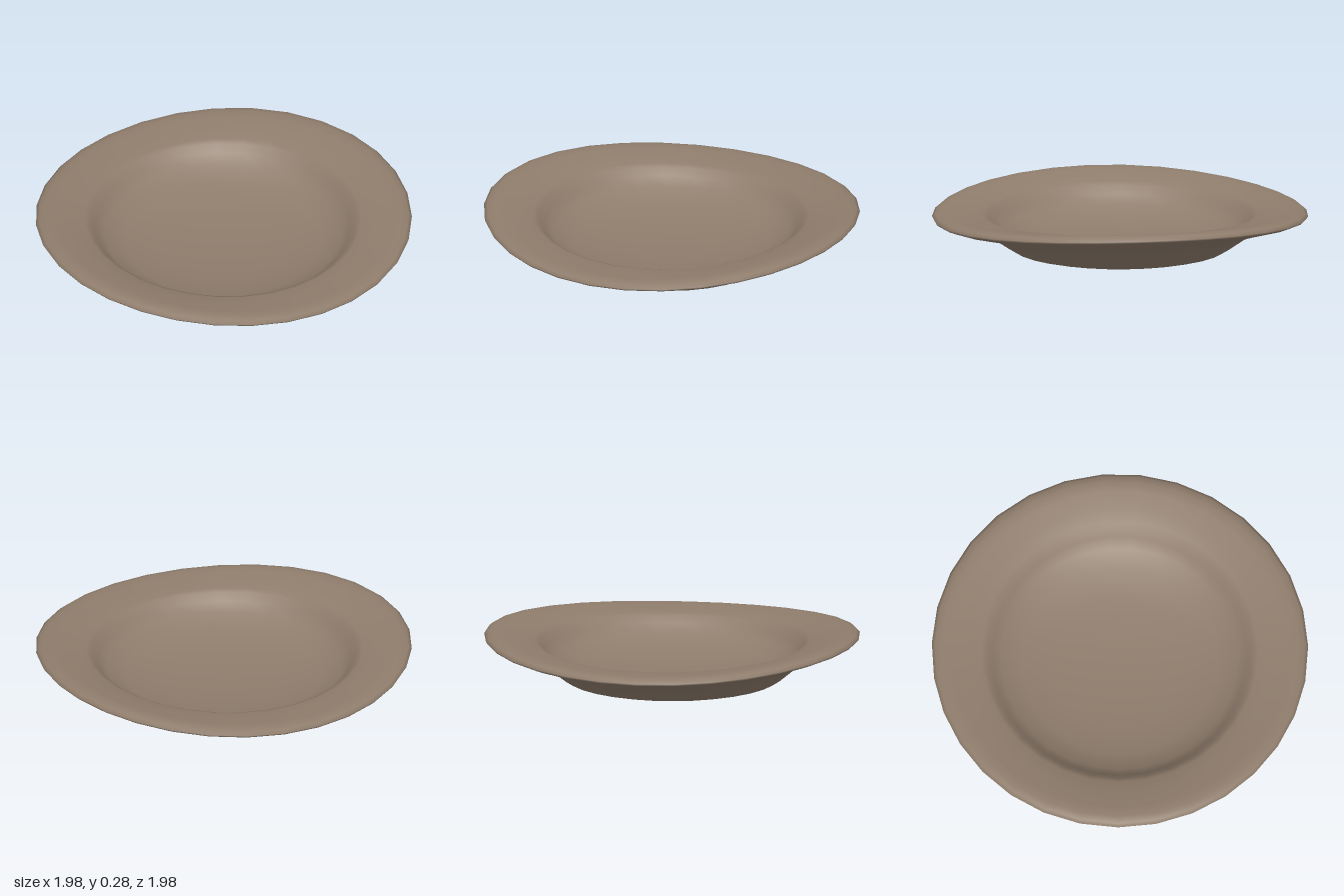
import * as THREE from 'three';
import { mergeVertices } from 'three/addons/utils/BufferGeometryUtils.js';

const SEGMENTS = 31;

// Profile from the centre of the underside, round the rim, to the centre of the well
const PROFILE = [
  [0, 0], [0.3, 0.004], [0.52, 0.01], [0.56, 0.02], [0.6, 0.045], [0.68, 0.105],
  [0.76, 0.148], [0.85, 0.174], [0.94, 0.2], [0.985, 0.217],
  [0.992, 0.228], [0.975, 0.242], [0.94, 0.251], [0.89, 0.247], [0.8, 0.234],
  [0.73, 0.222], [0.7, 0.208], [0.67, 0.17], [0.62, 0.125], [0.52, 0.085],
  [0.36, 0.06], [0.18, 0.048], [0, 0.044],
];

// Bend the rim into a slight saddle with a small tilt; the base stays flat
function warp(geometry) {
  const p = geometry.attributes.position;
  for (let i = 0; i < p.count; i++) {
    const x = p.getX(i), z = p.getZ(i);
    const r = Math.hypot(x, z);
    const w = THREE.MathUtils.smoothstep(r, 0.55, 0.95);
    const a = Math.atan2(z, x);
    const lift = -0.026 * Math.sin(2 * a) - 0.009 * Math.cos(2 * a) - 0.004 * Math.cos(a);
    const wobble = 1 + 0.006 * w * Math.sin(3 * a + 1);
    p.setXYZ(i, x * wobble + 0.003 * w, p.getY(i) + w * lift, z * wobble - 0.005 * w);
  }
}

export function createModel() {
  const clay = new THREE.MeshStandardMaterial({ color: 0x8f7d6c });
  clay.name = 'brown clay';

  let geometry = new THREE.LatheGeometry(PROFILE.map(([r, y]) => new THREE.Vector2(r, y)), SEGMENTS);
  // Weld the seam so the shading is smooth all round
  geometry.deleteAttribute('uv');
  geometry.deleteAttribute('normal');
  geometry = mergeVertices(geometry, 1e-4);
  warp(geometry);
  geometry.computeVertexNormals();

  const plate = new THREE.Mesh(geometry, clay);
  plate.name = 'plate';

  const group = new THREE.Group();
  group.name = 'handmadePlate';
  group.add(plate);
  return group;
}
